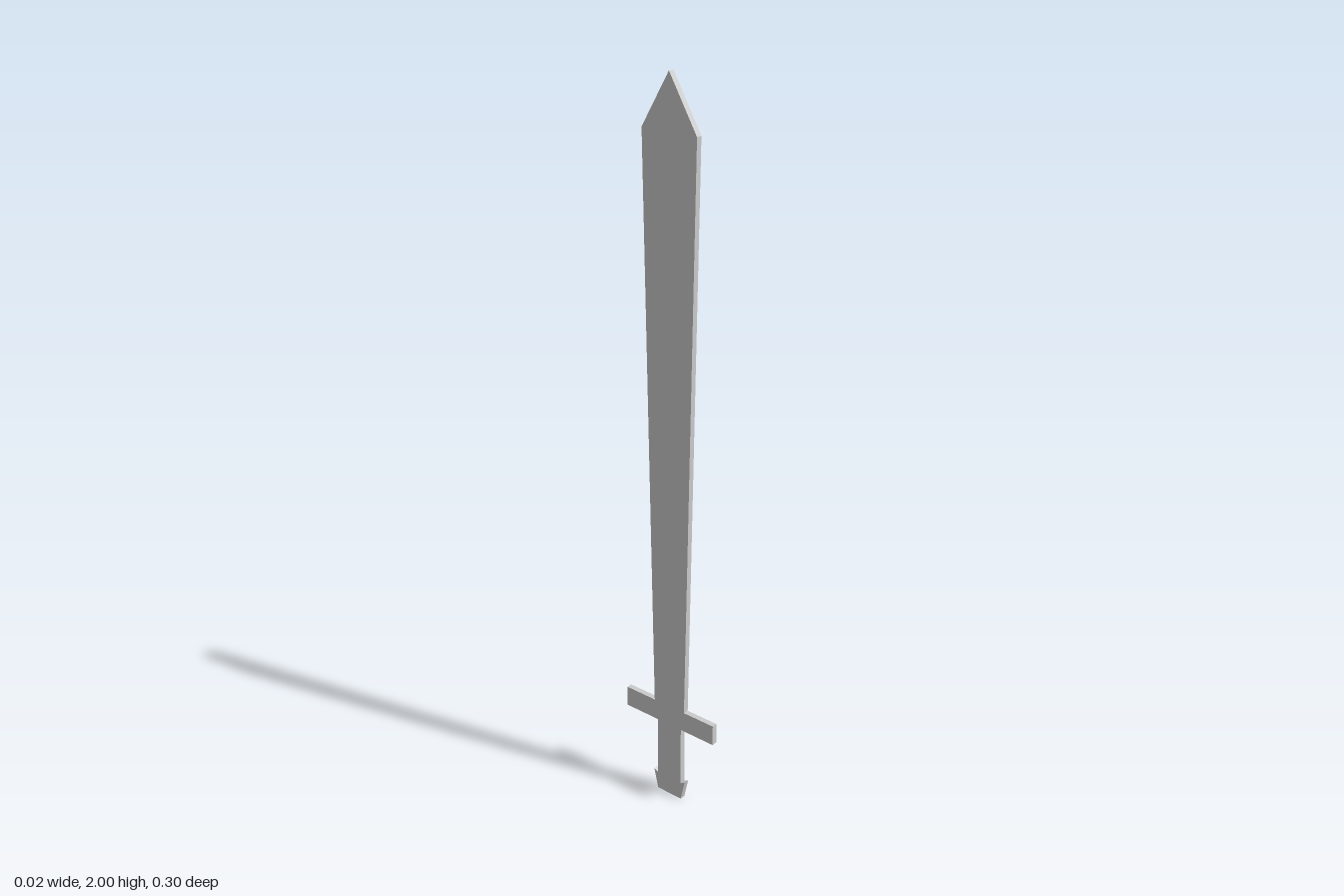
import * as THREE from 'three';

const THICKNESS = 0.016;

// Flat plate cut from half an outline [halfWidth, y] (bottom to top), mirrored across the centre line
function plate(name, half, material) {
  const mirrored = half.map(([w, y]) => [-w, y]).reverse();
  const outline = [...half, ...mirrored].map(([w, y]) => new THREE.Vector2(w, y));
  const geometry = new THREE.ExtrudeGeometry(new THREE.Shape(outline), {
    depth: THICKNESS,
    bevelEnabled: false,
  });
  geometry.translate(0, 0, -THICKNESS / 2);
  geometry.rotateY(-Math.PI / 2); // width runs along z, thickness along x
  const mesh = new THREE.Mesh(geometry, material);
  mesh.name = name;
  return mesh;
}

export function createModel() {
  const group = new THREE.Group();
  group.name = 'sword';
  const material = new THREE.MeshStandardMaterial({ color: 0xcccccc, flatShading: true });

  // Pommel flares upward to small barbs beside the grip
  group.add(plate('pommel', [[0.041, 0], [0.055, 0.059], [0.041, 0.052]], material));
  group.add(plate('grip', [[0.041, 0.052], [0.041, 0.228]], material));
  group.add(plate('crossGuard', [[0.152, 0.228], [0.152, 0.287]], material));

  // Blade widens toward its shoulders, then closes to a point
  const blade = [[0.052, 0.287], [0.084, 1.86], [0.0001, 2]];
  group.add(plate('blade', blade, material));

  return group;
}
